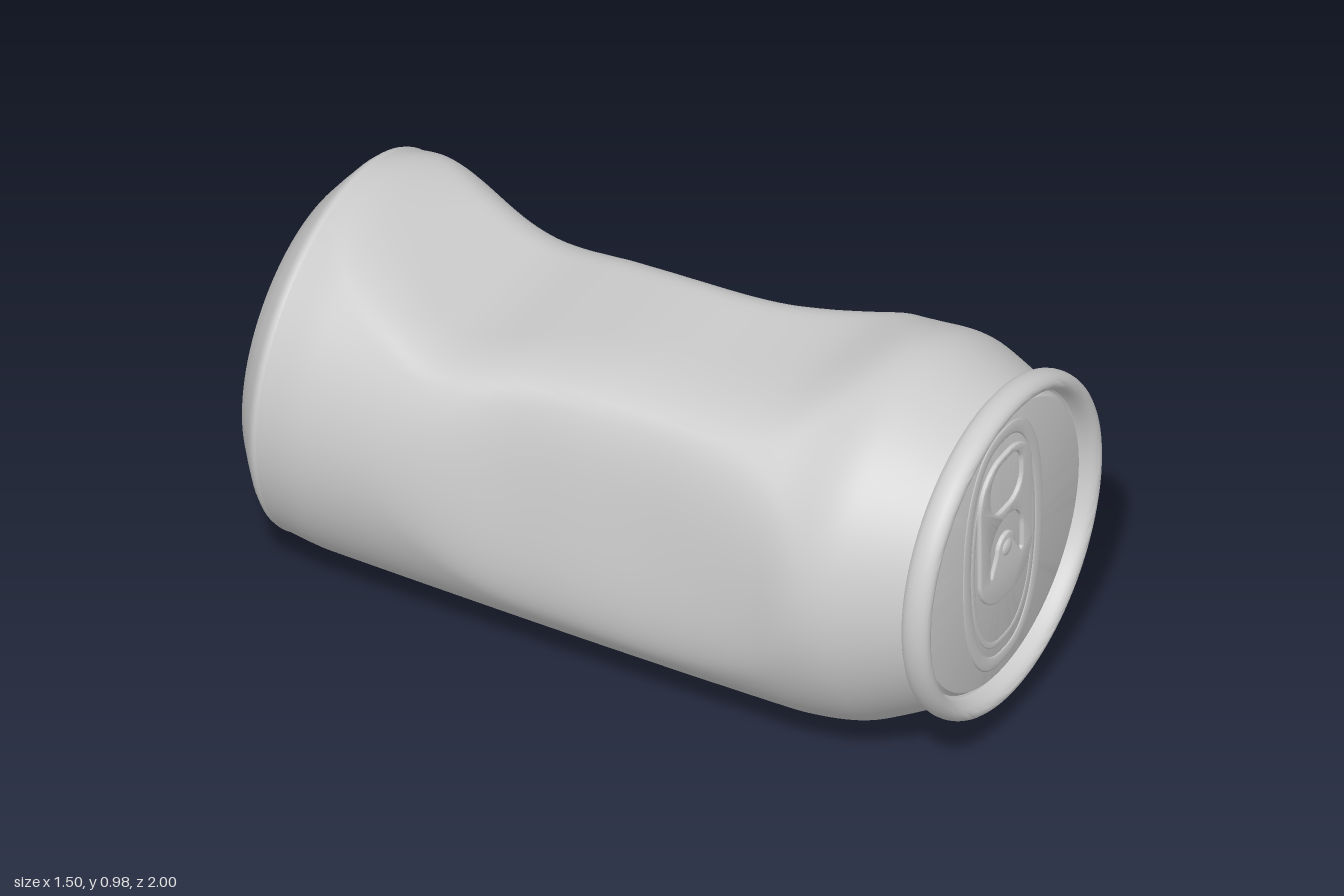
import * as THREE from 'three';
import { toCreasedNormals } from 'three/addons/utils/BufferGeometryUtils.js';

const material = new THREE.MeshStandardMaterial({ color: 0xcccccc });

// smooth interpolation through [w, value] keys
function track(keys) {
  return (w) => {
    const n = keys.length - 1;
    if (w <= keys[0][0]) return keys[0][1];
    if (w >= keys[n][0]) return keys[n][1];
    let i = 0;
    while (w > keys[i + 1][0]) i++;
    const slope = (k) => {
      const a = keys[Math.max(k - 1, 0)], b = keys[Math.min(k + 1, n)];
      return (b[1] - a[1]) / (b[0] - a[0]);
    };
    const [w0, v0] = keys[i], [w1, v1] = keys[i + 1];
    const h = w1 - w0, t = (w - w0) / h, t2 = t * t, t3 = t2 * t;
    return (2 * t3 - 3 * t2 + 1) * v0 + (t3 - 2 * t2 + t) * h * slope(i)
      + (3 * t2 - 2 * t3) * v1 + (t3 - t2) * h * slope(i + 1);
  };
}

function smoothMin(a, b, k) {
  const h = Math.max(k - Math.abs(a - b), 0) / k;
  return Math.min(a, b) - h * h * k * 0.25;
}

function add(parent, name, geometry) {
  const mesh = new THREE.Mesh(geometry, material);
  mesh.name = name;
  parent.add(mesh);
  return mesh;
}

// lathe turned about the can's long axis (z)
function turned(points, crease) {
  const g = new THREE.LatheGeometry(points.map(([r, w]) => new THREE.Vector2(r, w)), 96);
  g.rotateX(Math.PI / 2);
  return toCreasedNormals(g, crease);
}

// crushed wall: a round section cut by soft flat dents that vary along the can
function crushedWall() {
  const radius = track([[-0.84, 0.468], [-0.72, 0.48], [0.56, 0.48], [0.67, 0.472], [0.76, 0.438], [0.86, 0.39]]);
  const centreY = track([[-0.84, 0.48], [0.5, 0.483], [0.66, 0.503], [0.86, 0.525]]);
  const dents = [
    // top valley, upper left-hand flank, left-hand waist, right-hand waist
    { angle: 88, depth: track([[-0.84, 0.53], [-0.72, 0.44], [-0.58, 0.375], [-0.43, 0.325], [-0.2, 0.36],
      [0, 0.388], [0.3, 0.4], [0.45, 0.435], [0.62, 0.56]]) },
    { angle: 29, depth: track([[-0.84, 0.54], [-0.72, 0.46], [-0.5, 0.37], [-0.2, 0.355], [0.15, 0.36],
      [0.38, 0.43], [0.6, 0.56]]) },
    { angle: -6, depth: track([[-0.84, 0.56], [-0.7, 0.5], [-0.55, 0.435], [-0.38, 0.398], [-0.08, 0.377],
      [0.17, 0.37], [0.39, 0.435], [0.55, 0.51], [0.65, 0.56]]) },
    { angle: 172, depth: track([[-0.55, 0.56], [-0.41, 0.51], [-0.23, 0.438], [-0.04, 0.422], [0.21, 0.417],
      [0.46, 0.465], [0.62, 0.56]]) },
    { angle: 270, depth: track([[-0.6, 0.56], [0, 0.49], [0.5, 0.56]]) },
  ];
  const around = 128, along = 90, pos = [], index = [];
  for (let j = 0; j <= along; j++) {
    const w = -0.84 + 1.7 * j / along;
    for (let i = 0; i < around; i++) {
      const a = i / around * Math.PI * 2;
      let r = radius(w);
      for (const d of dents) {
        const c = Math.cos(a - d.angle * Math.PI / 180);
        if (c > 0.2) r = smoothMin(r, d.depth(w) / c, 0.08);
      }
      pos.push(r * Math.cos(a), centreY(w) + r * Math.sin(a), w);
    }
  }
  for (let j = 0; j < along; j++) for (let i = 0; i < around; i++) {
    const k = (i + 1) % around, a = j * around + i, b = j * around + k;
    index.push(a, b, b + around, a, b + around, a + around);
  }
  const g = new THREE.BufferGeometry();
  g.setAttribute('position', new THREE.Float32BufferAttribute(pos, 3));
  g.setIndex(index);
  g.computeVertexNormals();
  return g;
}

function roundedRect(path, x0, y0, x1, y1, r) {
  path.moveTo(x0 + r, y0);
  path.lineTo(x1 - r, y0);
  path.absarc(x1 - r, y0 + r, r, -Math.PI / 2, 0);
  path.absarc(x1 - r, y1 - r, r, 0, Math.PI / 2);
  path.absarc(x0 + r, y1 - r, r, Math.PI / 2, Math.PI);
  path.absarc(x0 + r, y0 + r, r, Math.PI, Math.PI * 1.5);
  return path;
}

// pull tab with a finger hole and an arched slot around the rivet tongue
function pullTab() {
  const s = roundedRect(new THREE.Shape(), -0.118, -0.14, 0.118, 0.265, 0.1);
  s.holes.push(roundedRect(new THREE.Path(), -0.078, 0.108, 0.078, 0.255, 0.06));
  const slot = new THREE.Path();
  slot.moveTo(0.08, -0.055);
  slot.lineTo(0.08, 0.01);
  slot.absarc(0, 0.01, 0.08, 0, Math.PI);
  slot.lineTo(-0.08, -0.055);
  slot.lineTo(-0.065, -0.06);
  slot.lineTo(-0.036, -0.005);
  slot.absarc(0, -0.005, 0.036, Math.PI, 0, true);
  slot.lineTo(0.065, -0.06);
  s.holes.push(slot);
  return toCreasedNormals(new THREE.ExtrudeGeometry(s, {
    depth: 0.004, bevelEnabled: true, bevelThickness: 0.004, bevelSize: 0.004, bevelSegments: 3, curveSegments: 16,
  }), 0.6);
}

// low oval bead pressed into the lid
function ovalBead(halfWidth, halfHeight, tube) {
  const pts = [];
  for (let i = 0; i < 48; i++) {
    const a = i / 48 * Math.PI * 2, c = Math.cos(a), s = Math.sin(a);
    pts.push(new THREE.Vector3(halfWidth * Math.sign(c) * Math.abs(c) ** 0.8, halfHeight * Math.sign(s) * Math.abs(s) ** 0.9, 0));
  }
  const g = new THREE.TubeGeometry(new THREE.CatmullRomCurve3(pts, true), 96, tube, 8, true);
  return g.scale(1, 1, 0.18);
}

export function createModel() {
  const model = new THREE.Group();
  model.name = 'crushedCan';
  const can = new THREE.Group();
  can.name = 'can';
  can.rotation.y = 0.386;
  can.position.set(0.006, 0, 0);
  model.add(can);

  add(can, 'crushedWall', crushedWall());

  // base: shallow inward dome, soft standing ring and chamfer
  const base = [];
  for (let i = 0; i <= 14; i++) {
    const t = i / 14;
    base.push([0.32 * t, -0.815 - 0.095 * t * t]);
  }
  base.push([0.334, -0.921], [0.346, -0.93], [0.36, -0.933], [0.375, -0.927], [0.42, -0.893],
    [0.455, -0.865], [0.467, -0.852], [0.47, -0.843], [0.468, -0.835]);
  add(can, 'base', turned(base, 0.7)).position.y = 0.48;

  // lid: rolled rim, countersunk wall and panel
  const lid = new THREE.Group();
  lid.name = 'lid';
  lid.position.set(0.01, 0.525, 0);
  can.add(lid);
  const rim = [[0.385, 0.845], [0.408, 0.845]];
  for (let i = 0; i <= 12; i++) {
    const a = -0.9 + i / 12 * (Math.PI + 0.9);
    rim.push([0.404 + 0.024 * Math.cos(a), 0.882 + 0.037 * Math.sin(a)]);
  }
  rim.push([0.378, 0.872], [0.373, 0.869], [0.368, 0.872], [0.362, 0.883], [0.355, 0.885], [0, 0.885]);
  add(lid, 'rimAndPanel', turned(rim, 0.6));

  add(lid, 'outerBead', ovalBead(0.17, 0.32, 0.018)).position.set(0, 0, 0.885);
  add(lid, 'innerBead', ovalBead(0.14, 0.265, 0.008)).position.set(0, -0.005, 0.885);
  add(lid, 'pullTab', pullTab()).position.set(0, 0.003, 0.888);

  const rivet = new THREE.SphereGeometry(0.022, 24, 12);
  rivet.scale(1, 1, 0.4);
  add(lid, 'rivet', rivet).position.set(0, -0.002, 0.894);

  return model;
}
